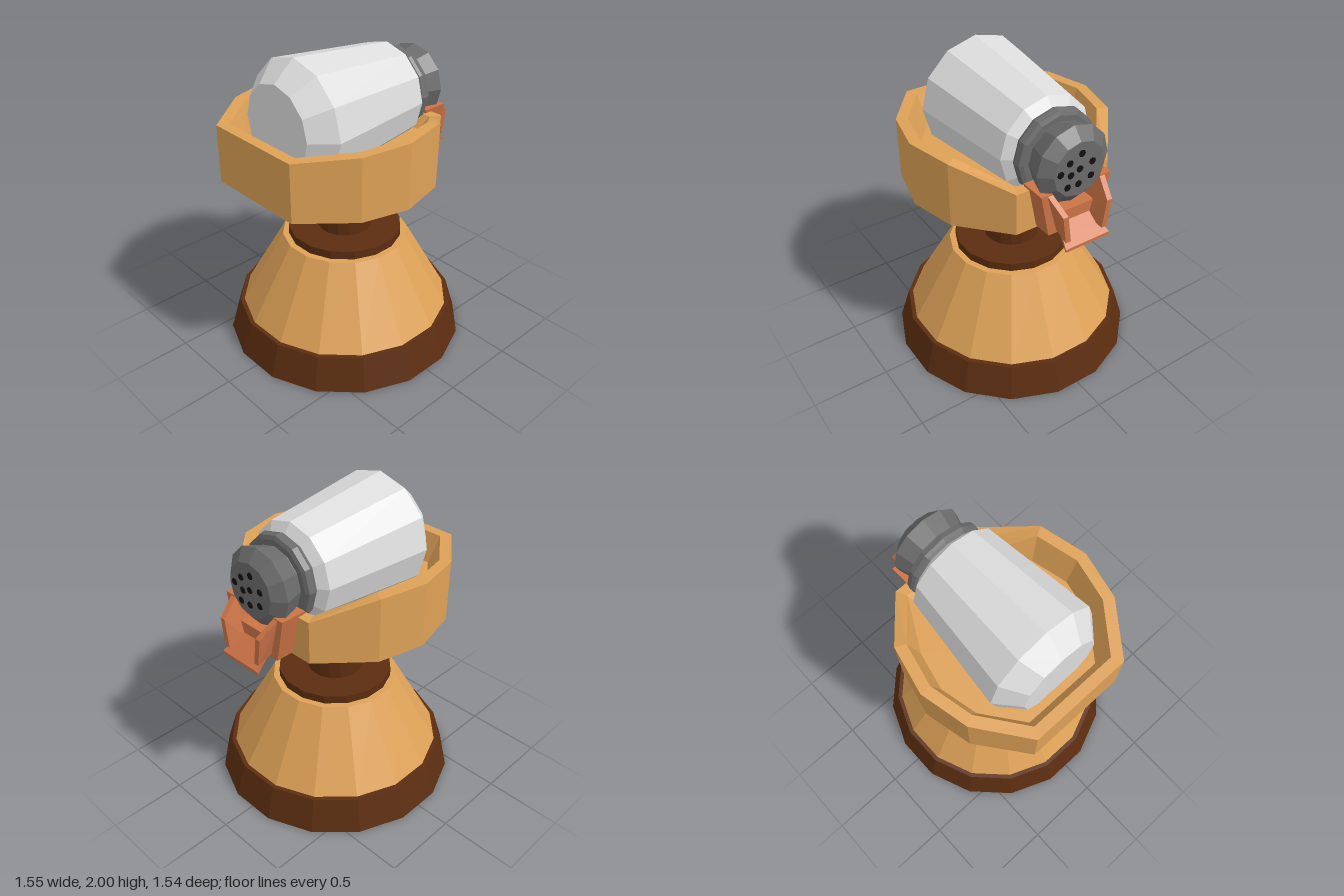
import * as THREE from 'three';
import { ConvexGeometry } from 'three/addons/geometries/ConvexGeometry.js';

const paint = (name, color) => {
  const m = new THREE.MeshStandardMaterial({ color, flatShading: true });
  m.name = name;
  return m;
};

export function createModel() {
  const darkWood = paint('dark wood', 0x5b2d10);
  const lightWood = paint('light wood', 0xdda157);
  const silver = paint('silver', 0xdddddd);
  const grey = paint('dark grey', 0x6b6b6b);
  const black = paint('black', 0x111111);
  const copper = paint('copper', 0xcb7345);

  const model = new THREE.Group();
  const add = (name, geometry, material) => {
    const mesh = new THREE.Mesh(geometry, material);
    mesh.name = name;
    model.add(mesh);
    return mesh;
  };

  // Stand: stacked 16-sided turned parts
  const turned = (name, rTop, rBottom, y0, y1, material) => {
    const g = new THREE.CylinderGeometry(rTop, rBottom, y1 - y0, 16);
    g.rotateY(Math.PI / 16);
    g.translate(0, (y0 + y1) / 2, 0);
    add(name, g, material);
  };
  turned('foot', 0.72, 0.787, 0, 0.22, darkWood);
  turned('cone', 0.41, 0.695, 0.215, 0.72, lightWood);
  turned('collar', 0.37, 0.37, 0.71, 0.775, darkWood);
  turned('post', 0.178, 0.178, 0.76, 1.18, darkWood);

  // Tray: ten-sided bowl; half outline as [x, z, bottom y, top y], then mirrored
  const half = [
    [0.53, -0.32, 1.205, 1.48], [0.22, -0.57, 1.185, 1.605], [-0.09, -0.64, 1.18, 1.605],
    [-0.4, -0.57, 1.19, 1.595], [-0.71, -0.335, 1.207, 1.578],
  ];
  const outline = [...half, ...half.map(([x, z, b, t]) => [x, -z, b, t]).reverse()];
  const ring = (scale, height) => outline.map((p) =>
    [-0.09 + (p[0] + 0.09) * scale, height(p), p[1] * scale]);
  const rings = [
    ring(0, () => 1.16), ring(0.5, () => 1.16), ring(1, (p) => p[2]), ring(1, (p) => p[3]),
    ring(0.89, (p) => p[3]), ring(0.79, () => 1.4), ring(0, () => 1.4),
  ];
  const verts = [];
  for (let r = 0; r < rings.length - 1; r++) {
    for (let i = 0; i < outline.length; i++) {
      const j = (i + 1) % outline.length;
      const a = rings[r], b = rings[r + 1];
      if (r > 0) verts.push(...a[i], ...a[j], ...b[j]);
      else verts.push(...a[i], ...b[j], ...b[i]);
      if (r > 0 && r < rings.length - 2) verts.push(...a[i], ...b[j], ...b[i]);
    }
  }
  const trayGeometry = new THREE.BufferGeometry();
  trayGeometry.setAttribute('position', new THREE.Float32BufferAttribute(verts, 3));
  trayGeometry.computeVertexNormals();
  add('tray', trayGeometry, lightWood);

  // Shaker lying along x: profiles as [radius, x]
  const lying = (name, profile, material) => {
    const g = new THREE.LatheGeometry(profile.map(([r, x]) => new THREE.Vector2(r, x)), 12);
    g.rotateZ(-Math.PI / 2);
    g.translate(0, 1.61, 0);
    add(name, g, material);
  };
  lying('canister', [[0, -0.53], [0.27, -0.53], [0.392, -0.39], [0.312, 0.355], [0.25, 0.395], [0, 0.395]], silver);
  lying('flange', [[0, 0.39], [0.24, 0.39], [0.265, 0.41], [0.272, 0.43], [0.265, 0.465], [0.24, 0.475], [0, 0.475]], grey);
  lying('nozzle', [[0, 0.46], [0.205, 0.46], [0.205, 0.48], [0.245, 0.605], [0.172, 0.667], [0, 0.667]], grey);

  // Sprinkle holes as [y, z]
  const holes = [
    [1.708, -0.01], [1.67, 0.07], [1.617, 0.13], [1.59, 0.06], [1.613, 0.0],
    [1.634, -0.085], [1.544, -0.08], [1.517, 0.005], [1.517, 0.08],
  ];
  for (const [y, z] of holes) {
    const g = new THREE.CylinderGeometry(0.022, 0.022, 0.006, 8);
    g.rotateZ(Math.PI / 2);
    g.translate(0.668, y, z);
    add('hole', g, black);
  }

  // Spout: mirrored arms and cheeks plus a sloping lip
  const solid = (name, points, mirror = 1) => add(name, new ConvexGeometry(
    points.map(([x, y, z]) => new THREE.Vector3(x, y, z * mirror))), copper);
  for (const side of [1, -1]) {
    const arm = [[1.5, 0.24], [1.5, 0.165], [1.22, 0.11], [1.22, 0.185]];
    solid('spoutArm', [0.48, 0.65].flatMap((x) => arm.map(([y, z]) => [x, y, z])), side);
    solid('spoutCheek', [
      [0.64, 1.5, 0.2], [0.64, 1.5, 0.165], [0.64, 1.24, 0.13], [0.64, 1.24, 0.095],
      [0.76, 1.4, 0.17], [0.76, 1.4, 0.135], [0.76, 1.22, 0.145], [0.76, 1.22, 0.11],
    ], side);
  }
  solid('spoutBack', [0.5, 0.65].flatMap((x) => [
    [x, 1.35, 0.13], [x, 1.35, -0.13], [x, 1.22, 0.12], [x, 1.22, -0.12],
  ]));
  solid('spoutLip', [1, -1].flatMap((s) => [
    [0.64, 1.285, 0.11 * s], [0.64, 1.24, 0.11 * s],
    [0.775, 1.185, 0.155 * s], [0.775, 1.165, 0.155 * s],
  ]));

  return model;
}
